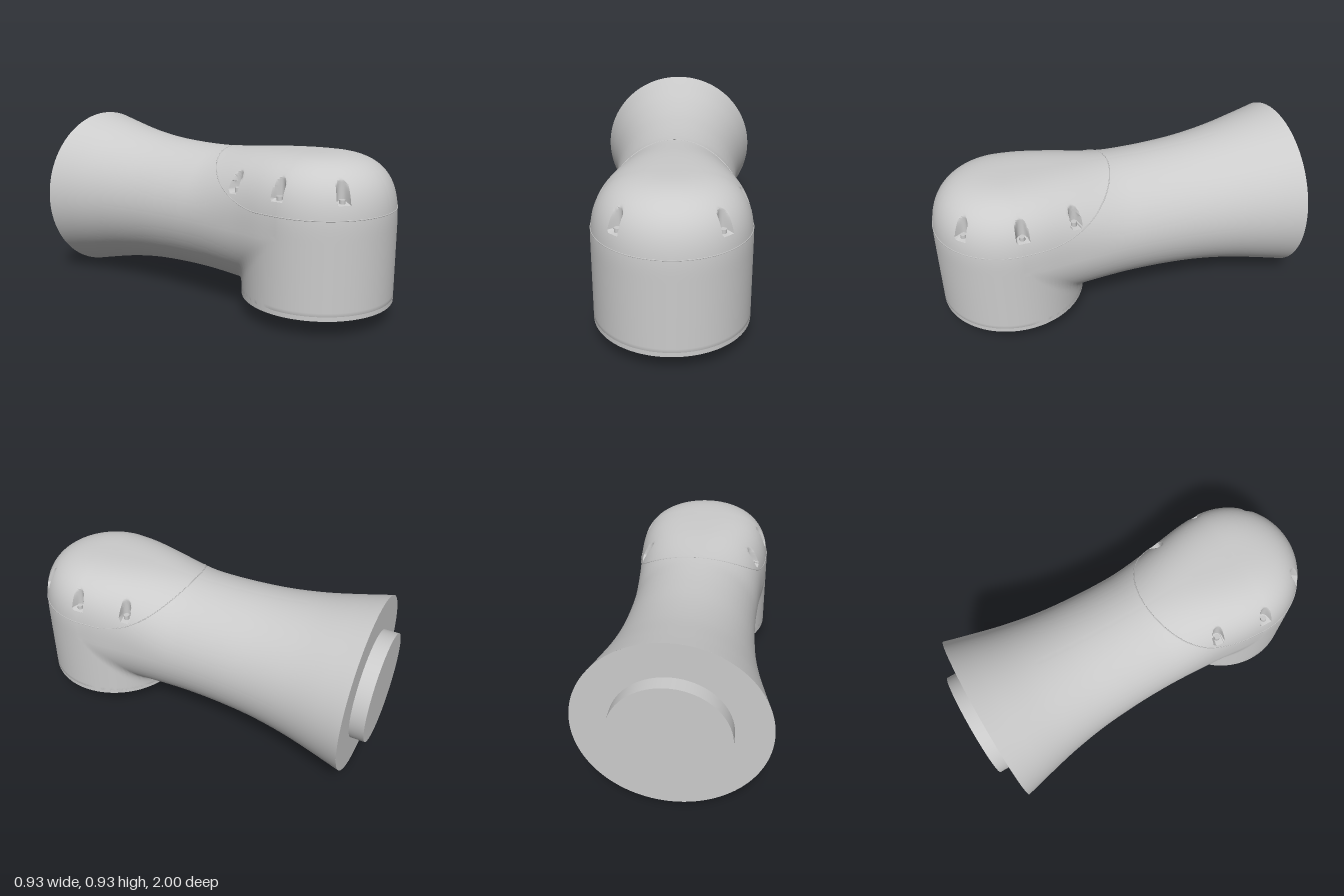
import * as THREE from 'three';
import { mergeGeometries, toCreasedNormals } from 'three/addons/utils/BufferGeometryUtils.js';

const AXIS_Y = 0.47;   // height of the horizontal sleeve axis
const HUB_Z = 0.61;    // position of the vertical hub axis
const HUB_R = 0.386;
const BACK_Z = -0.925;

// half width, height above the axis, z
const outline = new THREE.CatmullRomCurve3([
  [0.466, 0.466, BACK_Z], [0.435, 0.435, -0.8], [0.39, 0.39, -0.6], [0.36, 0.36, -0.4],
  [0.346, 0.346, -0.2], [0.343, 0.343, -0.05], [0.345, 0.346, 0.07], [0.361, 0.365, 0.33],
  [0.38, 0.371, 0.5], [0.386, 0.372, HUB_Z],
].map(p => new THREE.Vector3(...p)));

// section dimensions at a given z
function dims(z) {
  let lo = 0, hi = 1;
  for (let k = 0; k < 30; k++) {
    const mid = (lo + hi) / 2;
    if (outline.getPoint(mid).z < z) lo = mid; else hi = mid;
  }
  const p = outline.getPoint(hi);
  const t = THREE.MathUtils.smoothstep(z, 0, 0.6);
  return { a: p.x, b: p.y, n: 2 + t, t, z };
}

// radius of the section at an angle measured from straight up
function sectionRadius({ a, b, n, t, z }, angle) {
  const s = Math.abs(Math.sin(angle)), c = Math.cos(angle);
  if (c >= 0) return Math.pow(Math.pow(s / a, n) + Math.pow(c / b, n), -1 / n);
  const w2 = HUB_R ** 2 - (z - HUB_Z) ** 2;
  if (w2 <= 0) return a;
  // filleted union of the sleeve and the hub, cut flat underneath
  const flat = 0.36 / -c;
  const hub = Math.min(Math.sqrt(w2) / Math.max(s, 1e-6), flat);
  const k = 0.1 * (1 - t) + 1e-6;
  const h = Math.max(k - Math.abs(a - hub), 0) / k;
  return Math.min(Math.max(a, hub) + h * h * k / 4, flat);
}

// screw pockets: x, z and outward direction
const SLOT_R = 0.027, SLOT_FLOOR = 0.65;
const slots = [];
for (const side of [1, -1]) {
  slots.push({ x: 0.34 * side, z: 0.595, dx: side, dz: 0 });
  slots.push({ x: 0.23 * side, z: 0.86, dx: 0.677 * side, dz: 0.736 });
  slots.push({ x: 0.3 * side, z: 0.325, dx: 0.97 * side, dz: -0.243 });
}

// press the pockets in and clear room for the socket underneath
function carve(v) {
  if (v.y < 0.22 && Math.hypot(v.x, v.z - HUB_Z) < 0.33) v.y = 0.22;
  if (v.y < SLOT_FLOOR || v.y > 0.8) return v;
  for (const s of slots) {
    const x = v.x - s.x, z = v.z - s.z;
    const across = z * s.dx - x * s.dz, along = x * s.dx + z * s.dz;
    if (Math.abs(across) >= SLOT_R) continue;
    const depth = along + Math.sqrt(SLOT_R ** 2 - across ** 2);
    if (depth > 0 && depth < 0.13) {
      v.x -= depth * s.dx;
      v.z -= depth * s.dz;
    }
  }
  return v;
}

// surface from rows of points
function grid(rows, cols, point) {
  const pos = [], index = [];
  for (let i = 0; i <= rows; i++) {
    for (let j = 0; j <= cols; j++) {
      pos.push(...carve(point(i, j)).toArray());
      if (i === rows || j === cols) continue;
      const a = i * (cols + 1) + j, b = a + cols + 1;
      index.push(a, b, a + 1, b, b + 1, a + 1);
    }
  }
  const g = new THREE.BufferGeometry();
  g.setAttribute('position', new THREE.Float32BufferAttribute(pos, 3));
  g.setIndex(index);
  return g;
}

function shellGeometry() {
  const COLS = 240, COARSE = 50, FINE = 80;
  const rings = [];
  for (let i = 0; i < COARSE; i++) rings.push(dims(THREE.MathUtils.lerp(BACK_Z, 0.05, i / COARSE)));
  for (let i = 0; i <= FINE; i++) rings.push(dims(THREE.MathUtils.lerp(0.05, HUB_Z, i / FINE)));
  const last = rings[rings.length - 1];
  // sleeve and rear half of the hub
  const sleeve = grid(rings.length - 1, COLS, (i, j) => {
    const angle = j / COLS * Math.PI * 2, r = sectionRadius(rings[i], angle);
    return new THREE.Vector3(r * Math.sin(angle), AXIS_Y + r * Math.cos(angle), rings[i].z);
  });
  // front half of the hub: the last section swept round the vertical axis
  const front = grid(120, COLS / 2, (i, j) => {
    const phi = Math.PI / 2 - i / 120 * Math.PI;
    const angle = j / COLS * Math.PI * 2, r = sectionRadius(last, angle);
    const d = r * Math.sin(angle);
    return new THREE.Vector3(d * Math.sin(phi), AXIS_Y + r * Math.cos(angle), HUB_Z + d * Math.cos(phi));
  });
  return toCreasedNormals(mergeGeometries([sleeve, front]), 0.6);
}

// thin joint line around the cap
function seamGeometry() {
  const half = [];
  const widthAt = (d, y) =>
    d.a * Math.pow(Math.max(0, 1 - Math.pow((y - AXIS_Y) / d.b, d.n)), 1 / d.n);
  for (let i = 0; i <= 50; i++) {
    const z = 0.06 + 0.44 * (i / 50) ** 2, d = dims(z);
    const y = Math.min(0.58 + 0.236 * ((0.5 - z) / 0.44) ** 2, AXIS_Y + d.b);
    half.push(new THREE.Vector3(i ? widthAt(d, y) : 0, y, z));
  }
  const r = widthAt(dims(HUB_Z), 0.58);
  for (let i = 0; i <= 30; i++) {
    const phi = Math.PI / 2 * (1 - i / 30);
    half.push(new THREE.Vector3(r * Math.sin(phi), 0.58, HUB_Z + r * Math.cos(phi)));
  }
  const mirrored = half.slice(1, -1).reverse().map(p => new THREE.Vector3(-p.x, p.y, p.z));
  const path = new THREE.CatmullRomCurve3([...half, ...mirrored], true);
  return new THREE.TubeGeometry(path, 320, 0.003, 5, true);
}

export function createModel() {
  const group = new THREE.Group();
  const material = new THREE.MeshStandardMaterial({ color: 0xcccccc, side: THREE.DoubleSide });
  const add = (name, geometry, x = 0, y = 0, z = 0) => {
    const mesh = new THREE.Mesh(geometry, material);
    mesh.name = name;
    mesh.position.set(x, y, z);
    group.add(mesh);
  };

  add('shell', shellGeometry());
  add('capSeam', seamGeometry());

  // rear flange face and spigot
  add('rearFace', new THREE.CircleGeometry(0.466, 120).rotateY(Math.PI), 0, AXIS_Y, BACK_Z);
  add('rearSpigot', new THREE.CylinderGeometry(0.288, 0.288, 0.1, 96).rotateX(Math.PI / 2), 0, AXIS_Y, -0.95);

  // bottom rim with a round recess
  const rim = [[0, 0.18], [0.288, 0.18], [0.288, 0.1], [HUB_R, 0.1], [HUB_R, 0.14]]
    .map(p => new THREE.Vector2(...p));
  add('bottomSocket', toCreasedNormals(new THREE.LatheGeometry(rim, 120), 0.6), 0, 0, HUB_Z);

  // screw heads standing in the pockets
  for (const s of slots) {
    add('screw', new THREE.CylinderGeometry(0.015, 0.015, 0.03, 20), s.x, SLOT_FLOOR + 0.005, s.z);
  }
  return group;
}
